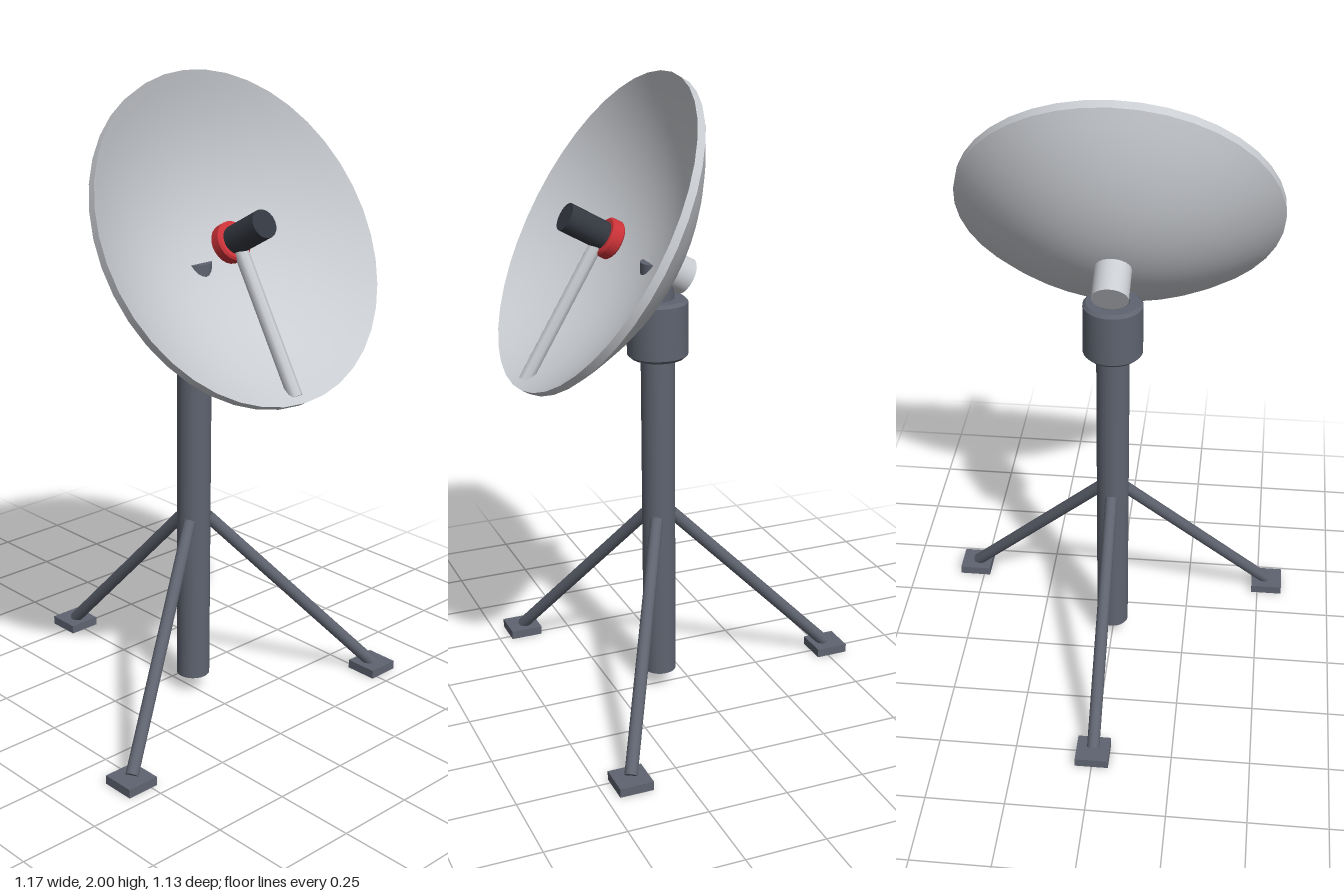
import * as THREE from 'three';
import { toCreasedNormals } from 'three/addons/utils/BufferGeometryUtils.js';

const material = (name, color) => {
  const m = new THREE.MeshStandardMaterial({ color });
  m.name = name;
  return m;
};

export function createModel() {
  const steel = material('slate steel', 0x5f6470);
  const dishGrey = material('dish grey', 0xc9ccd1);
  const feedDark = material('dark feed', 0x343840);
  const red = material('red', 0xcc3338);

  const model = new THREE.Group();
  model.name = 'satelliteDish';

  const add = (parent, name, geometry, mat, x = 0, y = 0, z = 0) => {
    const mesh = new THREE.Mesh(geometry, mat);
    mesh.name = name;
    mesh.position.set(x, y, z);
    parent.add(mesh);
    return mesh;
  };

  // Straight round bar between two points
  const bar = (parent, name, from, to, radius, sides, mat) => {
    const dir = to.clone().sub(from);
    const mesh = add(parent, name, new THREE.CylinderGeometry(radius, radius, dir.length(), sides), mat);
    mesh.position.copy(from).add(to).multiplyScalar(0.5);
    mesh.quaternion.setFromUnitVectors(new THREE.Vector3(0, 1, 0), dir.normalize());
  };

  // Closed cylinder with small chamfered rims
  const chamfered = (radius, height, bevel, sides = 32) => {
    const h = height / 2;
    const points = [
      [0, -h], [radius - bevel, -h], [radius, -h + bevel],
      [radius, h - bevel], [radius - bevel, h], [0, h],
    ].map(([r, y]) => new THREE.Vector2(r, y));
    return toCreasedNormals(new THREE.LatheGeometry(points, sides), 0.5);
  };

  // Mast, collar and short post behind the dish
  const mastZ = 0.1;
  add(model, 'mast', new THREE.CylinderGeometry(0.053, 0.053, 1.09, 24), steel, 0, 0.605, mastZ);
  add(model, 'collar', chamfered(0.095, 0.185, 0.01), steel, 0, 1.228, mastZ);
  add(model, 'post', new THREE.CylinderGeometry(0.052, 0.052, 0.125, 24), steel, 0, 1.373, mastZ);

  // Three braces with square feet
  for (const angle of [Math.PI / 6, Math.PI * 5 / 6, Math.PI * 3 / 2]) {
    const at = (r, y) => new THREE.Vector3(Math.cos(angle) * r, y, mastZ + Math.sin(angle) * r);
    bar(model, 'brace', at(0.045, 0.605), at(0.61, 0.028), 0.02, 12, steel);
    const foot = at(0.614, 0.014);
    add(model, 'foot', new THREE.BoxGeometry(0.106, 0.028, 0.106), steel, foot.x, foot.y, foot.z);
  }

  // Dish head: local y is the dish axis, the origin is the rim centre
  const head = new THREE.Group();
  head.name = 'dishHead';
  head.position.set(0, 1.5525, 0.308);
  head.rotation.x = Math.PI / 3;
  model.add(head);

  const R = 0.517, depth = 0.215, wall = 0.027, steps = 14;
  const bowl = (offset) => Array.from({ length: steps + 1 }, (_, i) => {
    const t = i / steps;
    return new THREE.Vector2(R * t, -depth * (1 - t * t) - offset);
  });
  add(head, 'dishBack', new THREE.LatheGeometry(bowl(wall), 40), dishGrey);
  add(head, 'dishFront', new THREE.LatheGeometry(bowl(0).reverse(), 40), dishGrey);
  add(head, 'dishRim', new THREE.CylinderGeometry(R, R, wall, 40, 1, true), dishGrey, 0, -wall / 2, 0);

  // Hub behind the dish
  add(head, 'hub', new THREE.CylinderGeometry(0.058, 0.058, 0.117, 24), dishGrey, 0, -0.2885, 0);

  // Feed horn, its red collar and the support arm
  add(head, 'feedHorn', new THREE.CylinderGeometry(0.044, 0.044, 0.16, 20), feedDark, 0, 0.014, 0);
  add(head, 'feedCollar', chamfered(0.061, 0.042, 0.006, 24), red, 0, -0.062, 0);
  bar(head, 'feedArm', new THREE.Vector3(0, -0.03, 0.49), new THREE.Vector3(0, -0.035, 0.02), 0.022, 8, dishGrey);

  return model;
}
